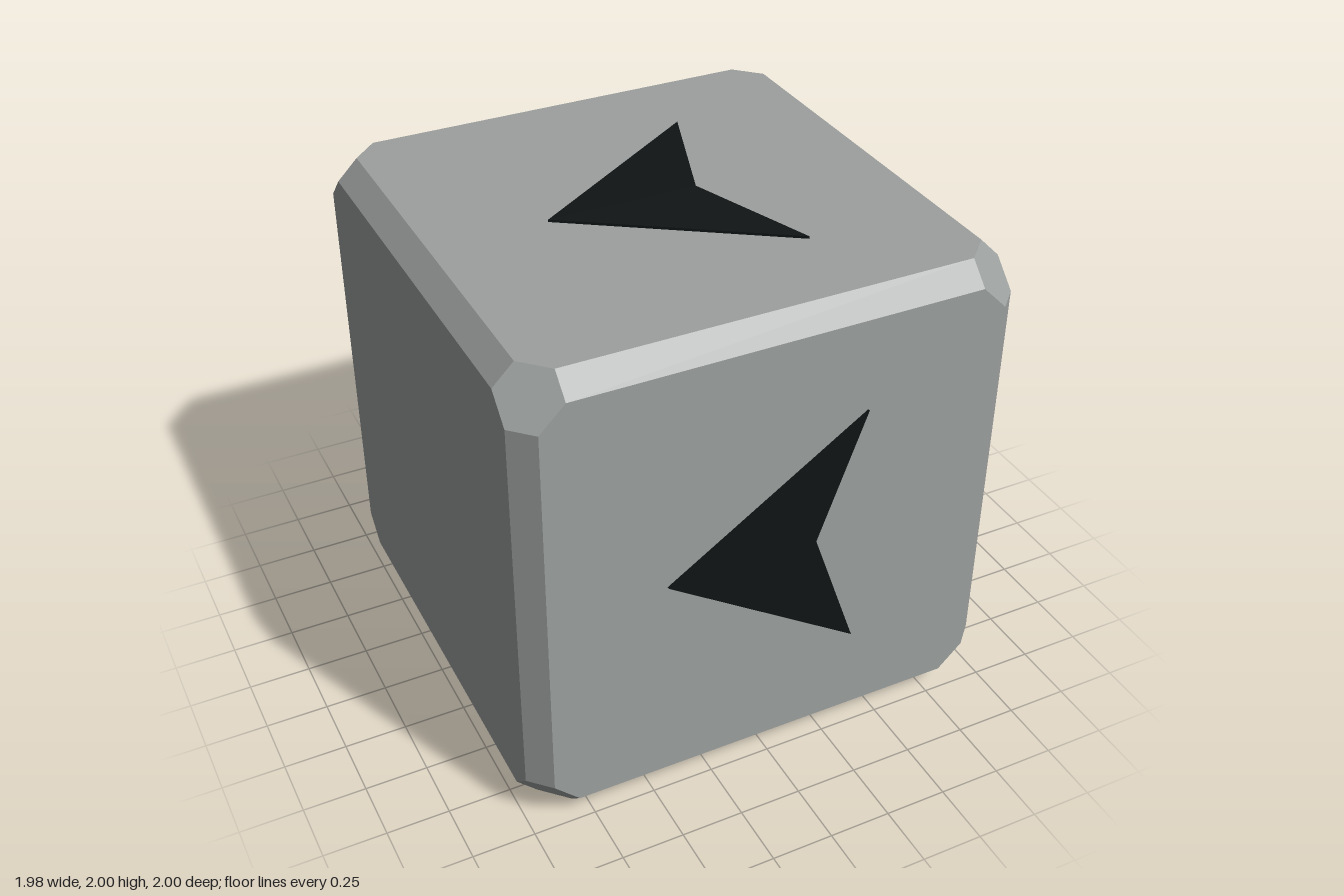
import * as THREE from 'three';
import { ConvexGeometry } from 'three/addons/geometries/ConvexGeometry.js';

const OUTER = 0.99, BEVEL = 0.907, CORNER = 0.807; // half extents of the chamfered cube

// Cube with bevelled edges and hexagonal corner cuts
function chamferedCube() {
  const [a, b, c] = [OUTER, BEVEL, CORNER];
  const corners = [[a, b, c], [a, c, b], [b, a, c], [b, c, a], [c, a, b], [c, b, a]];
  const points = [];
  for (const sx of [-1, 1]) for (const sy of [-1, 1]) for (const sz of [-1, 1])
    for (const [x, y, z] of corners) points.push(new THREE.Vector3(sx * x, sy * y, sz * z));
  return new ConvexGeometry(points);
}

// Thin notched arrowhead pointing to -x, resting on the front face
function arrowPlate() {
  const shape = new THREE.Shape([
    new THREE.Vector2(-0.44, 0),
    new THREE.Vector2(0.355, -0.53),
    new THREE.Vector2(0.167, 0),
    new THREE.Vector2(0.355, 0.53),
  ]);
  const geometry = new THREE.ExtrudeGeometry(shape, { depth: 1 - OUTER, bevelEnabled: false });
  return geometry.translate(0, 0, OUTER);
}

export function createModel() {
  const model = new THREE.Group();
  model.name = 'arrowBlock';
  const bodyMaterial = new THREE.MeshStandardMaterial({ color: 0x9ca09e, flatShading: true });
  const arrowMaterial = new THREE.MeshStandardMaterial({ color: 0x101415 });

  const body = new THREE.Mesh(chamferedCube(), bodyMaterial);
  body.name = 'chamferedBlock';
  body.position.y = 1;
  model.add(body);

  // One arrow on each of the four faces around the x axis
  const arrowGeometry = arrowPlate();
  ['frontArrow', 'topArrow', 'backArrow', 'bottomArrow'].forEach((name, i) => {
    const arrow = new THREE.Mesh(arrowGeometry, arrowMaterial);
    arrow.name = name;
    arrow.position.y = 1;
    arrow.rotation.x = -i * Math.PI / 2;
    model.add(arrow);
  });
  return model;
}
